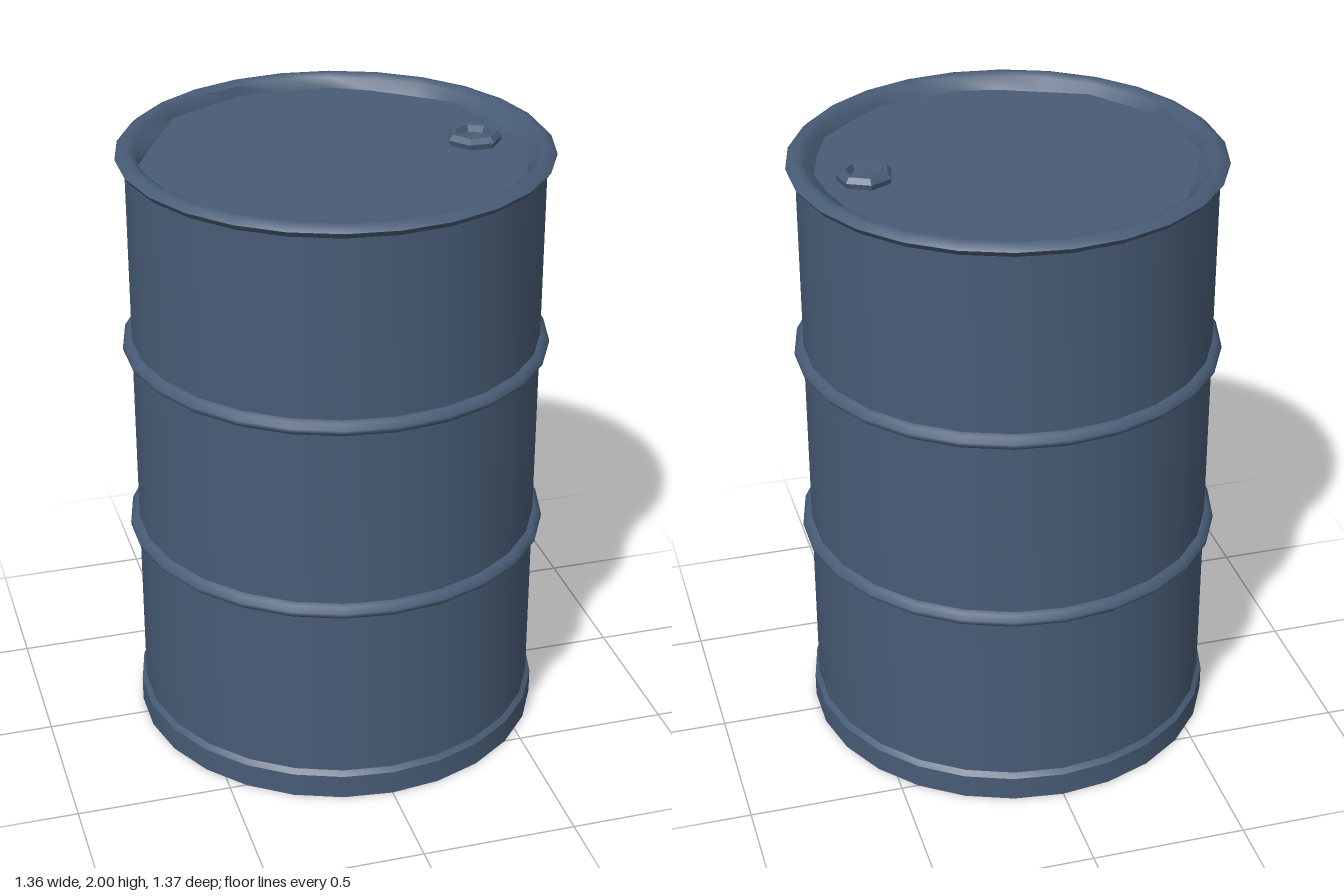
import * as THREE from 'three';
import { toCreasedNormals } from 'three/addons/utils/BufferGeometryUtils.js';

const SIDES = 26;
const LID_Y = 1.95;

// Uneven inner foot of the top rim, as x, z corners
const FOOT = [
  [0.14, -0.605], [-0.15, -0.605], [-0.41, -0.465], [-0.61, -0.08], [-0.58, 0.22],
  [-0.41, 0.46], [-0.08, 0.6], [0.0, 0.61], [0.3, 0.54], [0.51, 0.34],
  [0.585, 0.13], [0.6, 0.02], [0.51, -0.35], [0.23, -0.57],
];

// Distance from the axis to the foot polygon in direction (dx, dz)
function footRadius(dx, dz) {
  for (let i = 0; i < FOOT.length; i++) {
    const [ax, az] = FOOT[i];
    const [bx, bz] = FOOT[(i + 1) % FOOT.length];
    const ex = bx - ax, ez = bz - az;
    const det = dx * ez - dz * ex;
    if (Math.abs(det) < 1e-6) continue;
    const r = (ax * ez - az * ex) / det;
    const t = (ax * dz - az * dx) / det;
    if (r > 0 && t >= -1e-6 && t <= 1 + 1e-6) return r;
  }
  return 0.6;
}

function lathe(points, sides = SIDES) {
  return new THREE.LatheGeometry(points.map(([r, y]) => new THREE.Vector2(r, y)), sides);
}

export function createModel() {
  const group = new THREE.Group();
  const steel = new THREE.MeshStandardMaterial({ color: 0x485c76 });
  steel.name = 'blue steel';

  function add(name, geometry, crease = 0.5) {
    const mesh = new THREE.Mesh(toCreasedNormals(geometry, crease), steel);
    mesh.name = name;
    group.add(mesh);
    return mesh;
  }

  // Main wall
  add('wall', lathe([[0.655, 0.08], [0.655, 1.96]]));

  // Bottom band with its inner lip, and the recessed base
  add('bottomBand', lathe([
    [0.64, 0.04], [0.645, 0], [0.67, 0], [0.67, 0.08], [0.655, 0.095],
  ]));
  const base = add('base', new THREE.CircleGeometry(0.645, SIDES, Math.PI / 2));
  base.rotation.x = Math.PI / 2;
  base.position.y = 0.035;

  // Two rolling hoops
  for (const [name, y] of [['lowerHoop', 0.7], ['upperHoop', 1.34]]) {
    add(name, lathe([
      [0.655, y - 0.026], [0.668, y - 0.02], [0.684, y - 0.005],
      [0.684, y + 0.005], [0.668, y + 0.02], [0.655, y + 0.026],
    ]), 0.9);
  }

  // Rolled top rim whose inner foot follows the uneven polygon
  const rim = lathe([
    [0.65, 1.948], [0.67, 1.957], [0.684, 1.976], [0.665, 1.994],
    [0.645, 1.998], [0.625, 1.985], [0.6, LID_Y],
  ]);
  const p = rim.attributes.position;
  for (let i = 0; i < p.count; i++) {
    if (i % 7 !== 6) continue;
    const a = Math.atan2(p.getX(i), p.getZ(i));
    const r = footRadius(Math.sin(a), Math.cos(a));
    p.setXYZ(i, r * Math.sin(a), LID_Y + 0.001, r * Math.cos(a));
  }
  add('topRim', rim, 0.9);

  // Lid
  const lid = add('lid', new THREE.CircleGeometry(0.635, SIDES, Math.PI / 2));
  lid.rotation.x = -Math.PI / 2;
  lid.position.y = LID_Y;

  // Filler neck: a seven-sided collar with a sunken plug
  const collar = add('fillerCollar', lathe([
    [0.085, LID_Y], [0.09, 1.968], [0.076, 1.985], [0.06, 1.983], [0.052, 1.962],
  ], 7), 0.7);
  collar.position.x = 0.45;
  collar.rotation.y = Math.PI;
  const plug = add('fillerPlug', new THREE.CircleGeometry(0.055, 7, Math.PI / 2));
  plug.rotation.x = -Math.PI / 2;
  plug.position.set(0.45, 1.962, 0);

  return group;
}
